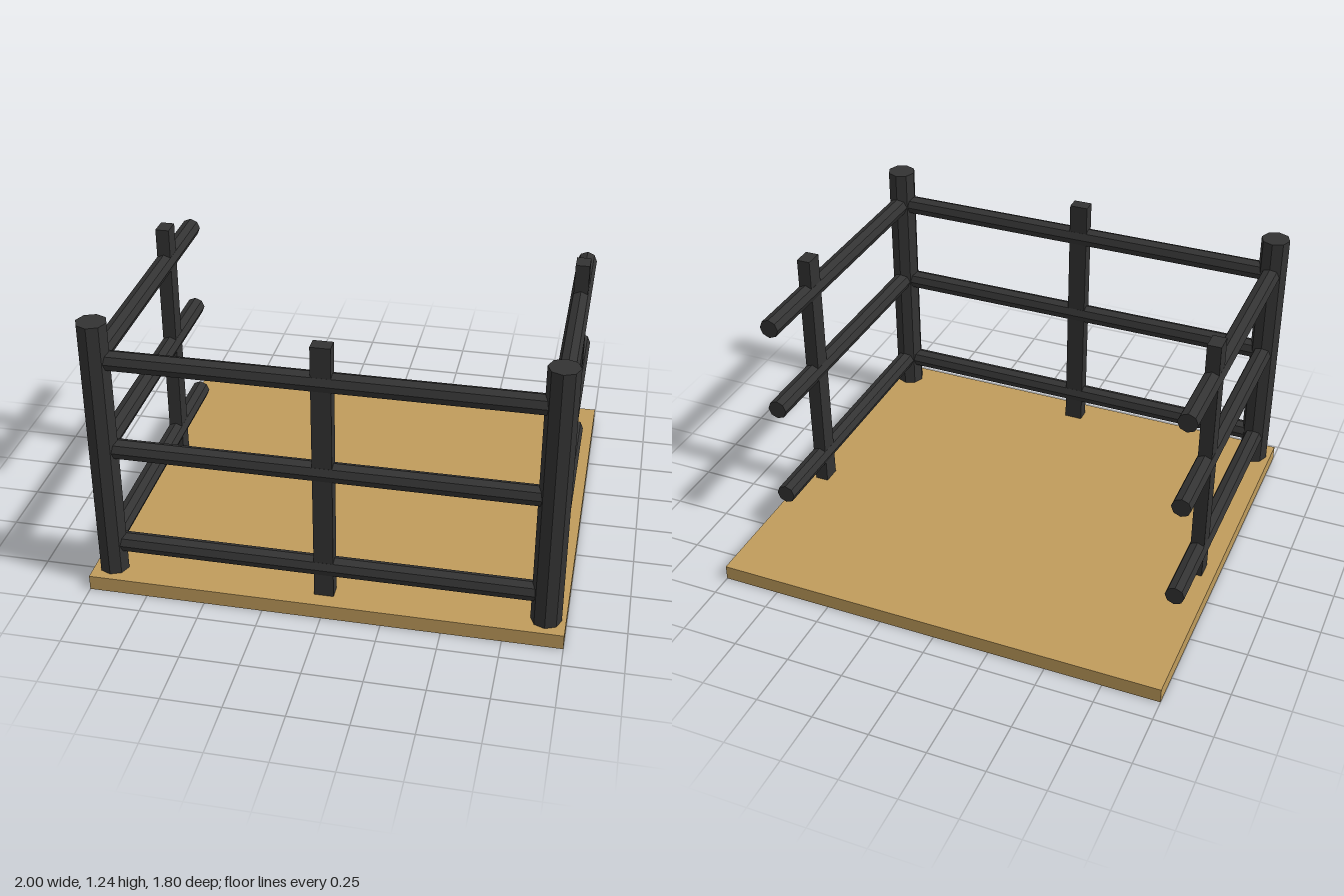
import * as THREE from 'three';

export function createModel() {
  const model = new THREE.Group();
  const wood = new THREE.MeshStandardMaterial({ color: 0xc09c5c, flatShading: true });
  const iron = new THREE.MeshStandardMaterial({ color: 0x333333, flatShading: true });

  const add = (name, geometry, material, x, y, z) => {
    const mesh = new THREE.Mesh(geometry, material);
    mesh.name = name;
    mesh.position.set(x, y, z);
    model.add(mesh);
    return mesh;
  };

  const baseTop = 0.066, postTop = 1.237;
  const sideX = 0.918, frontZ = 0.804, railBack = -0.49;
  const railHeights = [0.2, 0.66, 1.07], railRadius = 0.043;

  // Floor board
  add('base', new THREE.BoxGeometry(2, baseTop, 1.8), wood, 0, baseTop / 2, 0);

  // Slim rectangular uprights pass through the board, just showing underneath
  const uprightBottom = -0.001, uprightTop = 1.232;
  const upright = (name, w, d, x, z) => add(name,
    new THREE.BoxGeometry(w, uprightTop - uprightBottom, d), iron,
    x, (uprightTop + uprightBottom) / 2, z);
  upright('frontUpright', 0.082, 0.06, 0, frontZ - 0.002);

  // Front rails
  for (const y of railHeights) {
    const rail = new THREE.CylinderGeometry(railRadius, railRadius, 2 * sideX, 8).rotateZ(Math.PI / 2);
    add('frontRail', rail, iron, 0, y, frontZ - 0.002);
  }

  // Corner posts, side uprights and side rails, mirrored left and right
  for (const [side, s] of [['left', 1], ['right', -1]]) {
    const postHeight = postTop - baseTop;
    add(side + 'CornerPost', new THREE.CylinderGeometry(0.064, 0.064, postHeight, 8), iron,
      s * sideX, baseTop + postHeight / 2, frontZ);
    upright(side + 'Upright', 0.06, 0.082, s * sideX, -0.127);
    for (const y of railHeights) {
      const length = frontZ - railBack;
      const rail = new THREE.CylinderGeometry(railRadius, railRadius, length, 8).rotateX(Math.PI / 2);
      add(side + 'Rail', rail, iron, s * sideX, y, (frontZ + railBack) / 2);
    }
  }
  return model;
}
